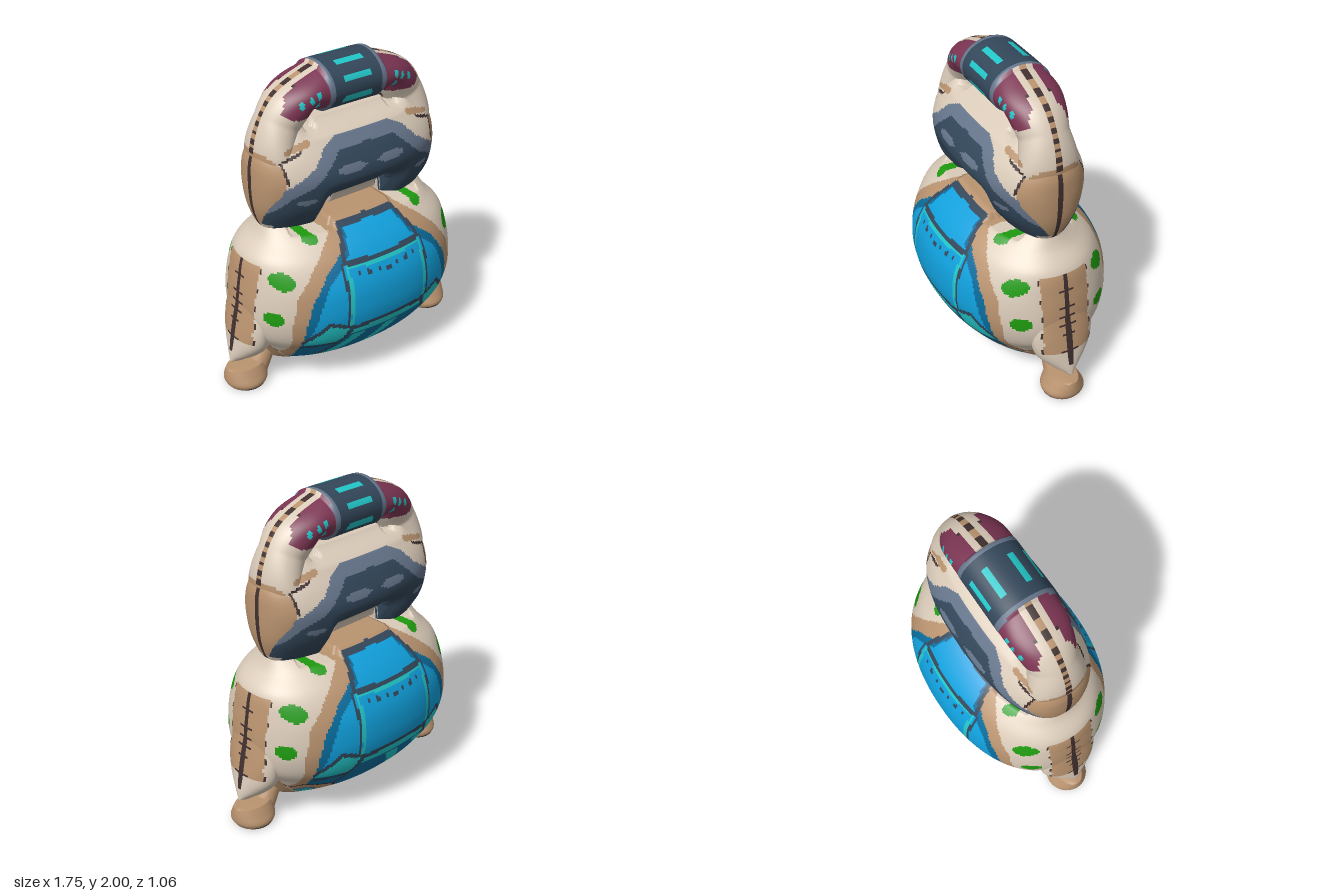
import * as THREE from 'three';

const COLORS = {
  cream: 0xdacbb9, tan: 0xb9936f, navy: 0x33475a, slate: 0x67768c, blue: 0x10a0dc,
  deepBlue: 0x0a6c9c, teal: 0x22c6c8, maroon: 0x7c3553, dark: 0x40302f, green: 0x1f9a10,
};
const names = Object.keys(COLORS);
const materials = names.map((name) => {
  const m = new THREE.MeshStandardMaterial({ color: COLORS[name] });
  m.name = name;
  return m;
});
const { smoothstep } = THREE.MathUtils;

// ---- paint tests in the front plane ----
function inPoly(p, x, y) {
  let hit = false;
  for (let i = 0, j = p.length - 1; i < p.length; j = i++) {
    const [ax, ay] = p[i], [bx, by] = p[j];
    if ((ay > y) !== (by > y) && x < ((bx - ax) * (y - ay)) / (by - ay) + ax) hit = !hit;
  }
  return hit;
}
function nearLine(p, x, y, t) {
  for (let i = 1; i < p.length; i++) {
    const [ax, ay] = p[i - 1], dx = p[i][0] - ax, dy = p[i][1] - ay;
    const k = THREE.MathUtils.clamp(((x - ax) * dx + (y - ay) * dy) / (dx * dx + dy * dy), 0, 1);
    if (Math.hypot(x - ax - k * dx, y - ay - k * dy) < t) return true;
  }
  return false;
}
const inOval = (x, y, cx, cy, rx, ry) => ((x - cx) / rx) ** 2 + ((y - cy) / ry) ** 2 < 1;

// ---- closed skin through rings of points, split into colour groups ----
function skin(name, rings, paint) {
  const n = rings[0].length, pts = rings.flat();
  const lists = names.map(() => []);
  const c = new THREE.Vector3();
  for (let r = 0; r < rings.length - 1; r++) {
    for (let i = 0; i < n; i++) {
      const a = r * n + i, b = r * n + ((i + 1) % n);
      c.copy(pts[a]).add(pts[b]).add(pts[a + n]).add(pts[b + n]).divideScalar(4);
      lists[names.indexOf(paint(c.x, c.y, c.z))].push(a, a + n, b, b, a + n, b + n);
    }
  }
  const geo = new THREE.BufferGeometry().setFromPoints(pts);
  geo.setIndex(lists.flat());
  let start = 0;
  lists.forEach((l, m) => {
    if (l.length) geo.addGroup(start, l.length, m);
    start += l.length;
  });
  geo.computeVertexNormals();
  const mesh = new THREE.Mesh(geo, materials);
  mesh.name = name;
  return mesh;
}

// Rings from [halfWidth, y, halfDepth] rows; low/high trim the skin by |x|, pinch thins it
function ovalRings(rows, count, sides, power, { cx = 0, base = 1, low = () => -9, high = () => 9, pinch = () => 1 } = {}) {
  const path = new THREE.CatmullRomCurve3(rows.map((r) => new THREE.Vector3(...r)));
  const list = path.getSpacedPoints(count);
  const flat = (v, k) => new THREE.Vector3(v.x, v.y, v.z * k);
  const floor = Array.from({ length: base }, (_, i) => flat(list[0], i / base));
  const sp = (v) => Math.sign(v) * Math.abs(v) ** (2 / power);
  return [...floor, ...list, flat(list[count], 0)].map((r) => Array.from({ length: sides }, (_, i) => {
    const t = (i / sides) * Math.PI * 2;
    const x = r.x * sp(Math.cos(t)), ax = Math.abs(x);
    const z = r.z * sp(Math.sin(t)) * pinch(ax, r.y);
    return new THREE.Vector3(x + cx, Math.min(high(ax), Math.max(low(ax), r.y)), z);
  }));
}

// ---- body paint ----
const bodyPatches = [
  ['tan', [[-1, 1.2], [0.22, 1.2], [0.26, 1.04], [0.35, 0.98], [0.46, 0.88], [0.57, 0.73], [0.61, 0.52], [0.58, 0.3], [0.64, 0.1], [-1, 0.1]]],
  ['deepBlue', [[-1, 1.05], [0.21, 1.05], [0.25, 0.96], [0.4, 0.84], [0.5, 0.69], [0.54, 0.52], [0.54, 0.35], [0.51, 0.14], [-1, 0.14]]],
  ['blue', [[-1, 1.04], [0.18, 1.04], [0.22, 0.93], [0.28, 0.88], [0.4, 0.78], [0.46, 0.64], [0.51, 0.45], [0.4, 0.5], [0.25, 0.47], [-1, 0.47]]],
  ['teal', [[-1, 0.47], [0.25, 0.47], [0.28, 0.42], [-1, 0.4]]],
  ['teal', [[0.29, 0.48], [0.43, 0.52], [0.54, 0.4], [0.52, 0.36], [0.32, 0.37]]],
  ['teal', [[-1, 0.18], [0.36, 0.18], [0.36, 0.155], [-1, 0.155]]],
];
const slantStripes = [
  [[-0.37, 0.21], [-0.29, 0.21], [-0.16, 0.41], [-0.25, 0.41]],
  [[-0.14, 0.21], [-0.05, 0.21], [0.08, 0.41], [-0.02, 0.41]],
];
const bodyLines = [
  ['teal', 0.011, [[0, 0.85], [0.27, 0.87], [0.275, 0.5]]],
  ['navy', 0.013, [[0, 1.05], [0.2, 1.045], [0.25, 0.95], [0.28, 0.885], [0, 0.875]]],
  ['navy', 0.008, [[0.293, 0.88], [0.305, 0.5]]],
  ['navy', 0.014, [[0, 0.48], [0.25, 0.47], [0.41, 0.53], [0.54, 0.4]]],
  ['navy', 0.013, [[0.26, 0.47], [0.33, 0.35], [0.52, 0.34]]],
  ['navy', 0.013, [[0.33, 0.35], [0.4, 0.2], [0, 0.2]]],
];
const pocket = [[0.25, 0.13], [0.38, 0.26], [0.55, 0.29], [0.66, 0.13]];
const spots = [[0.62, 0.82, 0.055, 0.053], [0.68, 0.58, 0.04, 0.048], [0.4, 1.015, 0.045, 0.022]];

// Laced strip down each side
function paintSide(y, z) {
  if (z < 0.012) return 'dark';
  if (z < 0.155) return y % 0.06 < 0.009 && z < 0.05 ? 'dark' : 'tan';
  return y % 0.12 < 0.035 ? 'dark' : 'cream';
}

function paintBody(sx, y, sz) {
  const x = Math.abs(sx), z = Math.abs(sz);
  if (y < 0.142) return Math.abs(z - 0.08) < 0.011 || Math.abs(z - 0.18) < 0.011 ? 'dark' : 'tan';
  if (x > 0.5 && z < 0.165 && y < 0.89) return paintSide(y, z);
  if (spots.some((s) => inOval(x, y, ...s))) return 'green';
  if (!(sx < 0 && sz > 0) && inPoly(pocket, x, y)) {
    if (inOval(x, y, 0.5, 0.2, 0.035, 0.028)) return 'teal';
    if (inOval(x, y, 0.5, 0.2, 0.055, 0.045)) return 'slate';
    return nearLine(pocket, x, y, 0.01) ? 'dark' : 'tan';
  }
  const dot = x / 0.068;
  if (Math.abs(y - 0.8 - x * 0.1) < 0.013 && x < 0.23 && Math.abs(dot - Math.round(dot)) < 0.18) return 'navy';
  for (const [color, t, line] of [...bodyLines].reverse()) if (nearLine(line, x, y, t)) return color;
  if (slantStripes.some((p) => inPoly(p, sx, y))) return 'teal';
  for (const [color, poly] of [...bodyPatches].reverse()) if (inPoly(poly, x, y)) return color;
  return 'cream';
}

// ---- head paint ----
const visor = [[-1, 1.62], [0.2, 1.605], [0.28, 1.565], [0.36, 1.48], [0.45, 1.42], [0.55, 1.36], [0.615, 1.22], [0.64, 1.0], [0.5, 1.0], [0.24, 1.05], [0.22, 1.2], [-1, 1.235]];
const visorFace = [[-1, 1.555], [0.19, 1.54], [0.28, 1.46], [0.38, 1.37], [0.5, 1.31], [0.6, 1.2], [0.64, 1.0], [0.5, 1.0], [0.24, 1.05], [0.22, 1.2], [-1, 1.235]];
const cheek = [[0.53, 1.39], [0.54, 1.5], [0.6, 1.56], [0.8, 1.52], [0.8, 1.15], [0.62, 1.2]];

function paintHead(sx, y, sz) {
  const x = Math.abs(sx), z = Math.abs(sz);
  if (x > 0.4 && z < 0.014) return 'dark';
  if (x > 0.55 && y < 1.09 && z < 0.1) return 'cream';
  if (x > 0.55 && y < 1.4 && z < 0.04 + 0.7 * (y - 1.1)) return 'tan';
  if (inPoly(visorFace, x, y)) {
    return inOval(x, y, 0.14, 1.43, 0.1, 0.025) || inOval(x, y, 0.42, 1.27, 0.06, 0.02) ? 'slate' : 'navy';
  }
  if (inPoly(visor, x, y)) return 'slate';
  if (inPoly(cheek, x, y)) return 'tan';
  if (nearLine([[0.42, 1.56], [0.54, 1.52], [0.52, 1.4]], x, y, 0.007)) return 'dark';
  if (nearLine([[0.36, 1.6], [0.5, 1.57]], x, y, 0.016)) return 'tan';
  return 'cream';
}

// ---- top arch paint ----
const sleeve = [[0.19, 2], [0.3, 1.95], [0.44, 1.87], [0.485, 1.78], [0.43, 1.74], [0.33, 1.735], [0.19, 1.68]];
const lights = [[0.275, 1.79], [0.275, 1.86], [0.32, 1.84], [0.38, 1.82]];

function paintArch(sx, y, sz) {
  const x = Math.abs(sx), z = Math.abs(sz);
  const angle = THREE.MathUtils.radToDeg(Math.atan2((y - 1.85) / 0.15, z / 0.19));
  if (x < 0.17) return x < 0.1 && [65, 25, -23].some((a) => Math.abs(angle - a) < 7.5) ? 'teal' : 'navy';
  if (x < 0.2) return 'slate';
  if (z > 0.055 && inPoly(sleeve, x, y)) {
    if (z < 0.07) return 'dark';
    return lights.some(([lx, ly]) => inOval(x, y, lx, ly, 0.014, 0.027)) ? 'teal' : 'maroon';
  }
  if (z < 0.012 && y > 1.5) return y % 0.05 < 0.025 ? 'dark' : 'tan';
  return paintHead(sx, y, sz);
}

function archRings() {
  const side = [[0, 1.85], [0.2, 1.847], [0.3, 1.838], [0.375, 1.78], [0.44, 1.69], [0.49, 1.55], [0.48, 1.38]];
  const pts = [...side.slice(1).reverse(), ...side.map(([x, y]) => [-x, y])];
  const path = new THREE.CatmullRomCurve3(pts.map(([x, y]) => new THREE.Vector3(x, y, 0)));
  const zAxis = new THREE.Vector3(0, 0, 1);
  return Array.from({ length: 141 }, (_, i) => {
    const c = path.getPointAt(i / 140), out = path.getTangentAt(i / 140).cross(zAxis);
    const x = Math.abs(c.x), band = x < 0.2;
    // the sleeves thin over the small openings; depth narrows toward the waist
    const r = band ? 0.15 : 0.13 - 0.03 * Math.exp(-(((x - 0.3) / 0.06) ** 2));
    const rz = band ? 0.19 : 0.148 + Math.min(0.04, Math.abs(c.y - 1.69) * 0.25);
    return Array.from({ length: 56 }, (_, k) => {
      const t = (k / 56) * Math.PI * 2;
      return c.clone().addScaledVector(out, r * Math.cos(t)).addScaledVector(zAxis, rz * Math.sin(t));
    });
  });
}

// The head thins toward the chin opening and toward the slot under the arch
function pinchHead(x, y) {
  const chin = (1 - smoothstep(x, 0.2, 0.34)) * (1 - smoothstep(y, 1.16, 1.36));
  const slot = (1 - smoothstep(x, 0.3, 0.4)) * smoothstep(y, 1.6, 1.7);
  return 1 - 0.5 * chin - 0.5 * slot;
}

export function createModel() {
  const model = new THREE.Group();
  model.name = 'paddedFigure';

  // Rounded body with a notched top edge
  model.add(skin('body', ovalRings([
    [0.58, 0.14, 0.23], [0.61, 0.2, 0.34], [0.67, 0.3, 0.43], [0.74, 0.4, 0.49], [0.765, 0.5, 0.52],
    [0.765, 0.6, 0.53], [0.745, 0.75, 0.51], [0.71, 0.9, 0.43], [0.62, 1.0, 0.33], [0.59, 1.05, 0.25], [0.57, 1.1, 0.17],
  ], 100, 320, 2.2, { base: 10, high: (x) => (x < 0.22 ? 1.075 : x < 0.48 ? 1.03 : 1.1) }), paintBody));

  // Head with a hanging chin, open slots beside it and a notch under the arch
  model.add(skin('head', ovalRings([
    [0.56, 1.03, 0.16], [0.6, 1.1, 0.21], [0.63, 1.2, 0.28], [0.64, 1.3, 0.315], [0.64, 1.4, 0.325],
    [0.63, 1.5, 0.285], [0.58, 1.6, 0.215], [0.52, 1.66, 0.17], [0.46, 1.7, 0.14],
  ], 78, 260, 2.5, {
    low: (x) => (x < 0.18 ? 1.13 : x < 0.23 ? 1.24 : x < 0.48 ? 1.07 : 1.03),
    high: (x) => (x > 0.26 && x < 0.33 ? 1.64 : 1.69),
    pinch: pinchHead,
  }), paintHead));

  // Banded arch over the head
  model.add(skin('topArch', archRings(), paintArch));

  // Feet, side flaps and ankle struts, mirrored
  for (const s of [1, -1]) {
    model.add(skin('foot', ovalRings([
      [0.12, 0, 0.125], [0.137, 0.03, 0.135], [0.138, 0.08, 0.11], [0.13, 0.13, 0.08],
    ], 14, 40, 2, { cx: s * 0.735 }), (x, y, z) => (y < 0.012 && Math.abs(z) > 0.1 ? 'dark' : 'tan')));
    model.add(skin('sideFlap', ovalRings([
      [0.135, 0.185, 0.04], [0.13, 0.24, 0.11], [0.115, 0.33, 0.18], [0.093, 0.45, 0.2], [0.05, 0.64, 0.16],
    ], 40, 60, 2, { cx: s * 0.705 }), (x, y, z) => {
      const az = Math.abs(z);
      if (y > 0.36 && az < 0.165) return paintSide(y, az);
      return az < 0.012 && y > 0.26 ? 'dark' : 'cream';
    }));
    const strut = new THREE.Mesh(new THREE.CylinderGeometry(0.06, 0.07, 0.2, 20), materials[names.indexOf('tan')]);
    strut.name = 'ankleStrut';
    strut.position.set(s * 0.6, 0.15, 0);
    strut.rotation.z = s * 0.5;
    model.add(strut);
  }
  return model;
}
